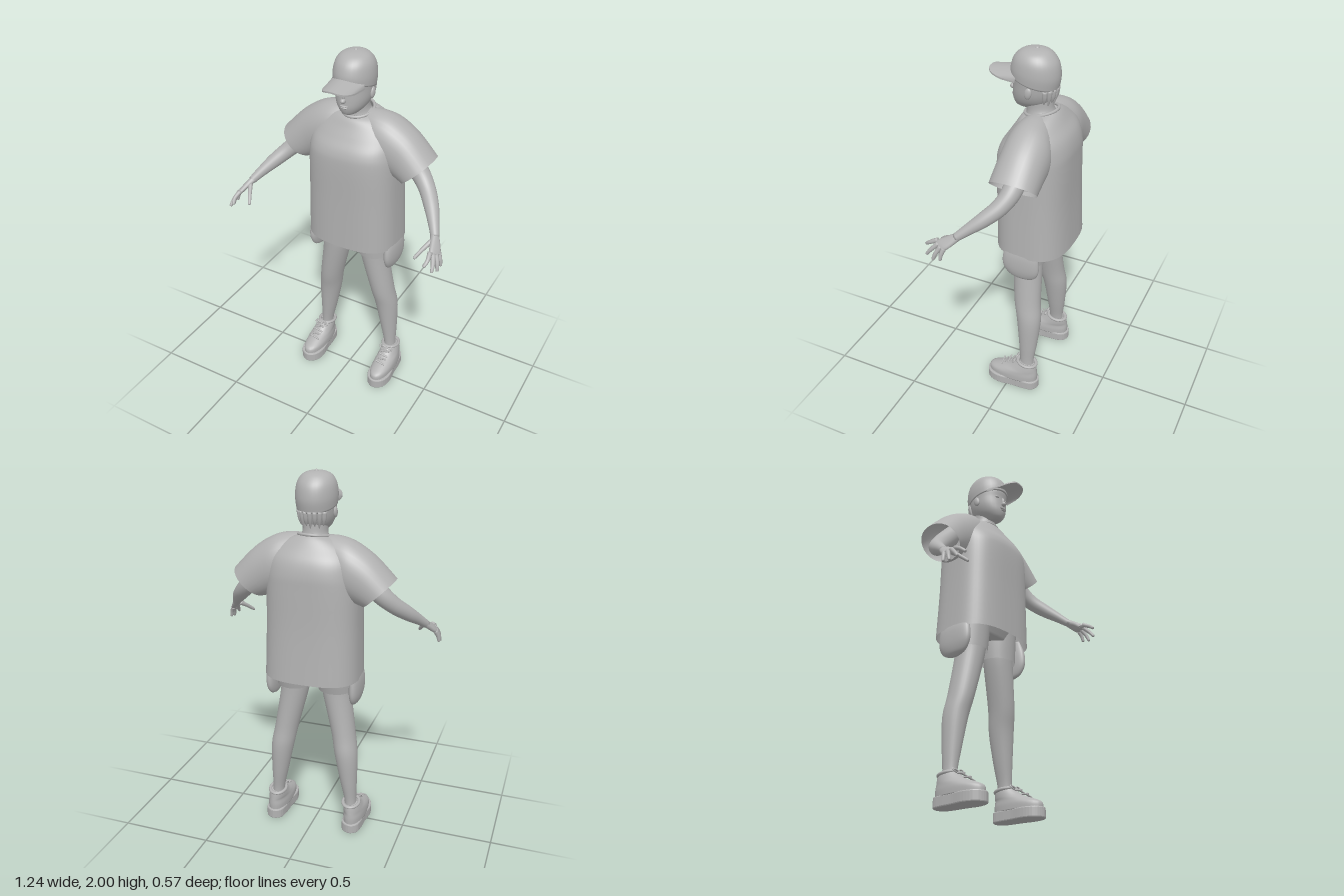
import * as THREE from 'three';

const grey = new THREE.MeshStandardMaterial({ color: 0xb2b2b2 });
grey.name = 'plainGrey';
const greyOpen = grey.clone();
greyOpen.name = 'plainGreyCloth';
greyOpen.side = THREE.DoubleSide;

// Horizontal ring set by its front and back points, centre x, half width and squareness
const ring = (cx, yF, zF, yB, zB, rx, n = 2) =>
  [cx, (yF + yB) / 2, (zF + zB) / 2, rx, 0, 0, 0, (yF - yB) / 2, (zF - zB) / 2, n];

// Smooth skin through sections [centre, axis u, axis v, squareness]
function loft(sections, { steps = 5, sides = 32, cap = true, side = 1 } = {}) {
  const at = i => sections[Math.min(Math.max(i, 0), sections.length - 1)];
  const rows = [];
  for (let i = 0; i < sections.length - 1; i++) {
    for (let k = 0; k < steps; k++) {
      const t = k / steps;
      rows.push(at(i).map((b, j) => {
        const a = at(i - 1)[j], c = at(i + 1)[j], d = at(i + 2)[j];
        return b + 0.5 * t * (c - a + t * (2 * a - 5 * b + 4 * c - d + t * (3 * (b - c) + d - a)));
      }));
    }
  }
  rows.push(at(sections.length));
  const pos = [], index = [];
  const pw = (v, n) => Math.sign(v) * Math.abs(v) ** (2 / n);
  for (const r of rows) {
    for (let j = 0; j < sides; j++) {
      const a = (j / sides) * Math.PI * 2, c = pw(Math.cos(a), r[9]), s = pw(Math.sin(a), r[9]);
      pos.push(side * (r[0] + r[3] * c + r[6] * s), r[1] + r[4] * c + r[7] * s, r[2] + r[5] * c + r[8] * s);
    }
  }
  // Pick the winding that faces outward
  const vec = (r, o) => new THREE.Vector3(r[o], r[o + 1], r[o + 2]);
  const first = rows[0], last = rows[rows.length - 1];
  const along = vec(last, 0).sub(vec(first, 0));
  const flip = vec(first, 3).cross(vec(first, 6)).dot(along) * side < 0;
  const tri = (a, b, c) => (flip ? index.push(a, c, b) : index.push(a, b, c));
  for (let i = 0; i < rows.length - 1; i++) {
    for (let j = 0; j < sides; j++) {
      const a = i * sides + j, b = i * sides + (j + 1) % sides;
      tri(a, b, a + sides);
      tri(b, b + sides, a + sides);
    }
  }
  if (cap) {
    const end = (rows.length - 1) * sides, n = pos.length / 3;
    pos.push(side * first[0], first[1], first[2], side * last[0], last[1], last[2]);
    for (let j = 0; j < sides; j++) {
      const k = (j + 1) % sides;
      tri(n, k, j);
      tri(n + 1, end + j, end + k);
    }
  }
  const g = new THREE.BufferGeometry();
  g.setAttribute('position', new THREE.Float32BufferAttribute(pos, 3));
  g.setIndex(index);
  g.computeVertexNormals();
  return g;
}

// Round limb through points [x, y, z, radius]
function limb(points, options) {
  const p = points.map(q => new THREE.Vector3(...q));
  return loft(points.map((q, i) => {
    const t = p[Math.min(i + 1, p.length - 1)].clone().sub(p[Math.max(i - 1, 0)]).normalize();
    const u = new THREE.Vector3(0, 0, 1).cross(t).normalize();
    const v = t.clone().cross(u);
    return [...p[i].toArray(), ...u.multiplyScalar(q[3]).toArray(), ...v.multiplyScalar(q[3]).toArray(), 2];
  }), options);
}

export function createModel() {
  const model = new THREE.Group();
  model.name = 'figure';
  const add = (name, geometry, material = grey) => {
    const mesh = new THREE.Mesh(geometry, material);
    mesh.name = name;
    model.add(mesh);
    return mesh;
  };
  const blob = (name, x, y, z, rx, ry, rz) => {
    const m = add(name, new THREE.SphereGeometry(1, 20, 14));
    m.position.set(x, y, z);
    m.scale.set(rx, ry, rz);
    return m;
  };

  // Head and face
  add('head', loft([
    ring(0, 1.687, 0.035, 1.69, -0.06, 0.03), ring(0, 1.698, 0.054, 1.71, -0.09, 0.05),
    ring(0, 1.73, 0.066, 1.73, -0.13, 0.074), ring(0, 1.77, 0.067, 1.77, -0.152, 0.091),
    ring(0, 1.82, 0.066, 1.82, -0.163, 0.098), ring(0, 1.87, 0.07, 1.87, -0.168, 0.099),
    ring(0, 1.93, 0.05, 1.93, -0.15, 0.08)]));
  add('neck', loft([ring(0, 1.62, 0.01, 1.64, -0.17, 0.1), ring(0, 1.665, -0.005, 1.68, -0.15, 0.074),
    ring(0, 1.7, -0.005, 1.71, -0.142, 0.064), ring(0, 1.76, 0, 1.76, -0.14, 0.066)]));
  blob('nose', 0, 1.775, 0.072, 0.014, 0.013, 0.017);
  blob('noseBridge', 0, 1.797, 0.065, 0.008, 0.024, 0.011);
  blob('upperLip', 0, 1.745, 0.064, 0.023, 0.005, 0.011);
  blob('lowerLip', 0, 1.736, 0.063, 0.019, 0.005, 0.011);
  for (const s of [-1, 1]) {
    blob('eye', s * 0.036, 1.815, 0.054, 0.014, 0.007, 0.009);
    blob('ear', s * 0.097, 1.795, -0.05, 0.011, 0.03, 0.019).rotation.x = -0.2;
  }
  for (let i = -3; i <= 3; i++) {
    const a = i * 0.28;
    add('napeHair', limb([[0.088 * Math.sin(a), 1.81, -0.06 - 0.098 * Math.cos(a), 0.014],
      [0.084 * Math.sin(a), 1.77, -0.06 - 0.094 * Math.cos(a), 0.012],
      [0.078 * Math.sin(a), 1.725 + 0.01 * (i & 1), -0.06 - 0.086 * Math.cos(a), 0.002]], { sides: 8, steps: 3 }));
  }

  // Cap with curved brim and button
  add('capCrown', loft([
    ring(0, 1.862, 0.077, 1.8, -0.166, 0.103), ring(0, 1.9, 0.075, 1.86, -0.176, 0.106),
    ring(0, 1.945, 0.059, 1.925, -0.166, 0.098), ring(0, 1.975, 0.03, 1.966, -0.138, 0.077),
    ring(0, 1.989, -0.005, 1.987, -0.105, 0.045), ring(0, 1.994, -0.045, 1.994, -0.06, 0.008)]));
  blob('capButton', 0, 1.993, -0.055, 0.01, 0.007, 0.01);
  const brim = new THREE.BoxGeometry(2, 0.008, 1, 28, 1, 8);
  const bp = brim.attributes.position;
  for (let i = 0; i < bp.count; i++) {
    const s = bp.getX(i), t = bp.getZ(i) + 0.5;
    const back = 0.02 + 0.045 * (1 - s * s);
    const front = 0.025 + 0.164 * Math.sqrt(Math.max(0, 1 - Math.abs(s) ** 3.2));
    bp.setXYZ(i, 0.09 * s, 1.883 - 0.018 * t - 0.028 * s * s + bp.getY(i), back + (front - back) * t);
  }
  brim.computeVertexNormals();
  add('capBrim', brim);

  // Oversized shirt
  add('shirtBody', loft([
    ring(0, 0.935, 0.115, 0.935, -0.285, 0.257, 2.8), ring(0, 1.2, 0.115, 1.2, -0.272, 0.249, 2.8),
    ring(0, 1.42, 0.117, 1.42, -0.27, 0.246, 2.7), ring(0, 1.5, 0.106, 1.51, -0.268, 0.243, 2.5),
    ring(0, 1.56, 0.07, 1.58, -0.25, 0.232, 2.3), ring(0, 1.61, 0.038, 1.635, -0.213, 0.2, 2.1),
    ring(0, 1.645, 0.017, 1.675, -0.185, 0.14), ring(0, 1.66, 0, 1.695, -0.165, 0.082)],
  { sides: 56, cap: false }), greyOpen);
  const collar = [];
  for (let i = 0; i < 24; i++) {
    const a = (i / 24) * Math.PI * 2;
    collar.push(new THREE.Vector3(0.081 * Math.sin(a), 1.679 - 0.018 * Math.cos(a), -0.083 + 0.084 * Math.cos(a)));
  }
  add('shirtCollar', new THREE.TubeGeometry(new THREE.CatmullRomCurve3(collar, true), 48, 0.008, 8, true));

  // Shorts seat
  add('shortsSeat', loft([ring(0, 1.16, 0.06, 1.16, -0.22, 0.2, 2.5), ring(0, 1.05, 0.06, 1.05, -0.22, 0.21, 2.5),
    ring(0, 0.945, 0.02, 0.945, -0.18, 0.19, 2.5)]));

  for (const side of [1, -1]) {
    const o = { side };
    // Sleeve, set by the top and bottom of each section
    const cuff = (tx, ty, bx, by, rz, cz = -0.09) =>
      [(tx + bx) / 2, (ty + by) / 2, cz, (tx - bx) / 2, (ty - by) / 2, 0, 0, 0, rz, 2.1];
    add('sleeve', loft([cuff(0.05, 1.686, 0.09, 1.42, 0.09), cuff(0.13, 1.687, 0.13, 1.4, 0.11),
      cuff(0.215, 1.665, 0.17, 1.375, 0.122, -0.095), cuff(0.32, 1.597, 0.22, 1.355, 0.121, -0.095),
      cuff(0.428, 1.487, 0.27, 1.34, 0.122)], { side, cap: false }), greyOpen);

    // Arm and hand
    add('arm', limb([[0.22, 1.54, -0.09, 0.055], [0.34, 1.415, -0.088, 0.051], [0.41, 1.345, -0.055, 0.044],
      [0.47, 1.285, 0.01, 0.038], [0.515, 1.235, 0.075, 0.028], [0.547, 1.195, 0.125, 0.021]], o));
    const palm = (x, y, z, w, t) => [x, y, z, -0.44 * w, 0.3 * w, 0.85 * w, 0.8 * t, 0.58 * t, 0.2 * t, 2.4];
    add('palm', loft([palm(0.537, 1.207, 0.11, 0.02, 0.019), palm(0.557, 1.182, 0.145, 0.029, 0.016),
      palm(0.574, 1.158, 0.18, 0.036, 0.014), palm(0.583, 1.146, 0.198, 0.033, 0.01)], { side, sides: 20 }));
    const fingers = [
      ['indexFinger', [0.564, 1.166, 0.215], [0.57, 1.145, 0.256], [0.563, 1.125, 0.282]],
      ['middleFinger', [0.576, 1.156, 0.205], [0.593, 1.12, 0.24], [0.598, 1.092, 0.262]],
      ['ringFinger', [0.585, 1.148, 0.188], [0.603, 1.11, 0.21], [0.61, 1.078, 0.222]],
      ['littleFinger', [0.59, 1.145, 0.168], [0.604, 1.115, 0.178], [0.61, 1.085, 0.182]],
      ['thumb', [0.54, 1.185, 0.15], [0.515, 1.155, 0.195], [0.492, 1.122, 0.235]]];
    for (const [name, a, b, c] of fingers) {
      const tip = c.map((v, i) => v + (v - b[i]) * 0.08);
      add(name, limb([[...a, 0.013], [...b, 0.0105], [...c, 0.008], [...tip, 0.002]], { side, sides: 10, steps: 4 }));
    }

    // Shorts leg and side pocket
    add('shortsLeg', loft([ring(0.11, 1.1, 0.05, 1.1, -0.2, 0.1), ring(0.113, 0.95, 0.035, 0.95, -0.195, 0.102),
      ring(0.117, 0.845, 0.025, 0.85, -0.172, 0.096)], { side, cap: false }), greyOpen);
    add('sidePocket', loft([ring(0.225, 1, 0, 1, -0.16, 0.015), ring(0.232, 0.93, 0.025, 0.93, -0.175, 0.028, 2.3),
      ring(0.233, 0.86, 0.028, 0.85, -0.176, 0.03, 2.3), ring(0.23, 0.805, 0, 0.8, -0.15, 0.022),
      ring(0.226, 0.782, -0.05, 0.78, -0.1, 0.006)], o));

    // Leg
    add('leg', loft([ring(0.115, 0.95, 0.02, 0.95, -0.155, 0.086), ring(0.117, 0.84, 0.015, 0.84, -0.148, 0.079),
      ring(0.163, 0.6, -0.007, 0.6, -0.157, 0.066), ring(0.186, 0.47, -0.032, 0.47, -0.17, 0.063),
      ring(0.203, 0.31, -0.051, 0.31, -0.158, 0.047), ring(0.215, 0.19, -0.062, 0.19, -0.143, 0.033),
      ring(0.22, 0.12, -0.06, 0.12, -0.145, 0.034)], o));

    // Shoe: sole, upper, padded collar and laces
    const half = [[0.045, 0.115], [0.066, 0.055], [0.058, -0.03], [0.055, -0.1], [0.042, -0.158]];
    const outline = [[0, 0.138], ...half, [0, -0.18], ...half.map(([x, z]) => [-x, z]).reverse()];
    const curve = new THREE.CatmullRomCurve3(outline.map(([x, z]) => new THREE.Vector3(x, -z, 0)), true);
    const shape = new THREE.Shape(curve.getPoints(48).slice(0, -1).map(p => new THREE.Vector2(p.x, p.y)));
    const sole = new THREE.ExtrudeGeometry(shape, { depth: 0.044, bevelSize: 0.006, bevelOffset: -0.006, bevelThickness: 0.006, bevelSegments: 2 });
    sole.rotateX(-Math.PI / 2);
    add('shoeSole', sole).position.set(side * 0.228, 0.006, 0);
    add('shoeUpper', loft([ring(0.228, 0.052, 0.128, 0.052, -0.17, 0.06, 2.2), ring(0.228, 0.083, 0.122, 0.083, -0.171, 0.06, 2.2),
      ring(0.228, 0.106, 0.075, 0.11, -0.169, 0.056), ring(0.226, 0.128, 0.015, 0.125, -0.167, 0.052),
      ring(0.224, 0.15, -0.02, 0.142, -0.165, 0.048), ring(0.222, 0.175, -0.048, 0.16, -0.162, 0.043)], o));
    const pad = add('shoeCollar', new THREE.TorusGeometry(0.045, 0.009, 10, 28));
    pad.rotation.x = Math.PI / 2 - 0.13;
    pad.scale.y = 1.2;
    pad.position.set(side * 0.221, 0.167, -0.105);
    for (let i = 0; i < 5; i++) {
      const lace = add('lace', new THREE.CapsuleGeometry(0.005, 0.05, 4, 8));
      lace.rotation.z = Math.PI / 2 + (i % 2 ? 0.2 : -0.2);
      lace.position.set(side * 0.226, 0.122 + i * 0.013, 0.045 - i * 0.021);
    }
    for (const b of [-1, 1]) {
      const bow = add('laceBow', new THREE.TorusGeometry(0.016, 0.004, 8, 18));
      bow.scale.set(1.3, 0.8, 1);
      bow.rotation.set(-0.6, 0, b * 0.35);
      bow.position.set(side * 0.224 + b * 0.02, 0.172, -0.036);
    }
  }
  return model;
}
